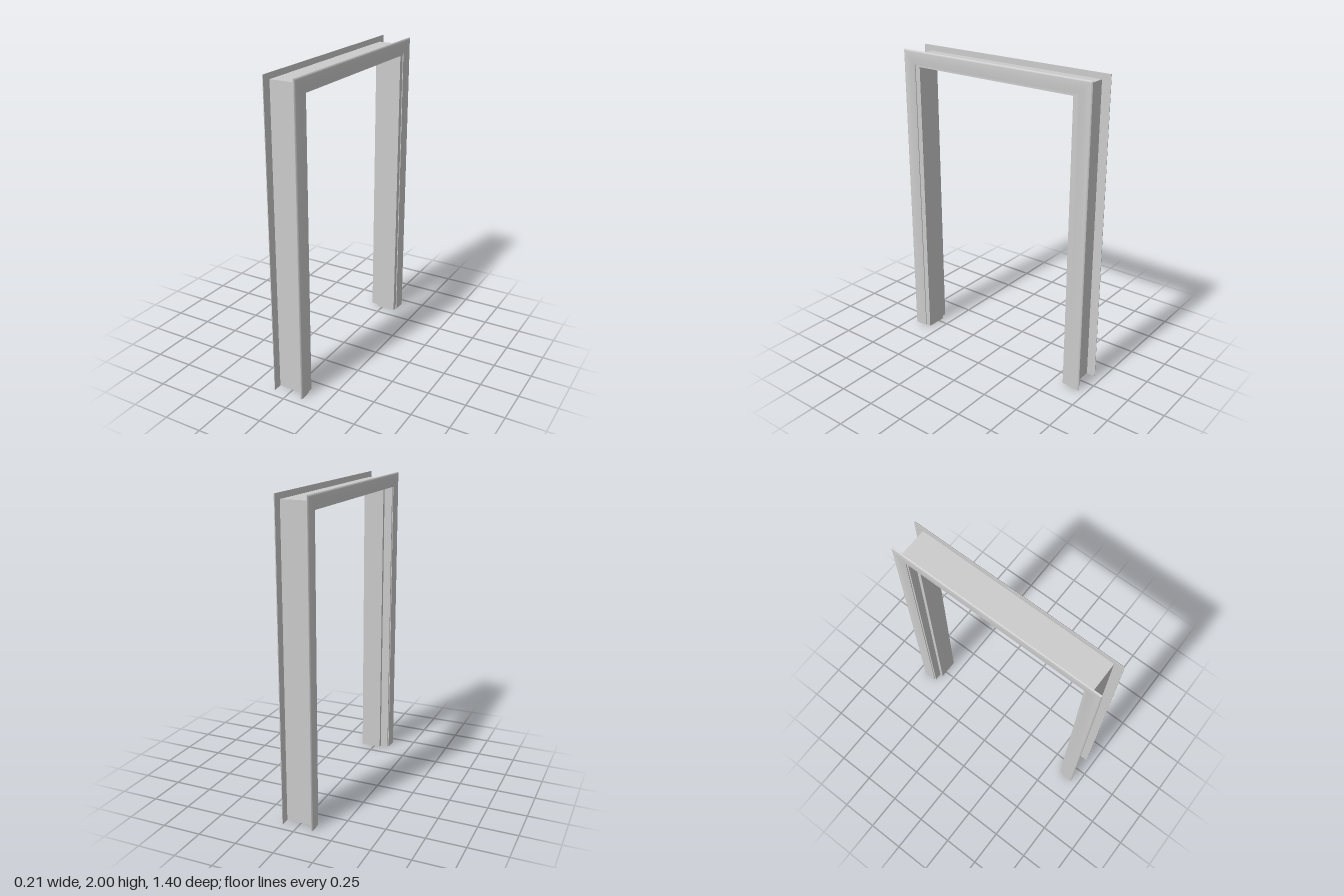
import * as THREE from 'three';
import { toCreasedNormals } from 'three/addons/utils/BufferGeometryUtils.js';

const material = new THREE.MeshStandardMaterial({ color: 0xcccccc });

// Sweeps a profile [x, inset] up one leg, across the head and down the other
// leg, with mitred corners. halfWidth and top give the outer outline.
function sweepFrame(name, profile, halfWidth, top) {
  const shape = new THREE.Shape(profile.map(([x, inset]) => new THREE.Vector2(x, inset)));
  const geometry = new THREE.ExtrudeGeometry(shape, { depth: 3, steps: 3, bevelEnabled: false });
  const pos = geometry.attributes.position;
  for (let i = 0; i < pos.count; i++) {
    const inset = pos.getY(i);
    const station = Math.round(pos.getZ(i));
    const side = station < 2 ? 1 : -1;
    const atHead = station === 1 || station === 2;
    pos.setXYZ(i, pos.getX(i), atHead ? top - inset : 0, side * (halfWidth - inset));
  }
  geometry.deleteAttribute('uv');
  geometry.computeVertexNormals();
  const mesh = new THREE.Mesh(toCreasedNormals(geometry, 0.5), material);
  mesh.name = name;
  return mesh;
}

export function createModel() {
  const group = new THREE.Group();
  group.name = 'doorFrame';
  const wall = 0.095;

  // Lining with a rebate for the door along the -x side
  const lining = [
    [-wall, 0], [wall, 0], [wall, 0.066], [-0.042, 0.066], [-0.042, 0.043], [-wall, 0.043],
  ];
  group.add(sweepFrame('lining', lining, 0.641, 1.963));

  // Casing profile: [thickness, inset], rounded outside and tapering inwards
  const casing = [
    [0, 0], [0.003, 0], [0.006, 0.002], [0.0085, 0.006], [0.01, 0.012], [0.0105, 0.02],
    [0.0105, 0.044], [0.009, 0.06], [0.007, 0.078], [0.005, 0.09], [0, 0.09],
  ];
  for (const side of [1, -1]) {
    const profile = casing.map(([t, inset]) => [side * (wall + t), inset]);
    group.add(sweepFrame(side > 0 ? 'leftCasing' : 'rightCasing', profile, 0.7, 2));
  }
  return group;
}
